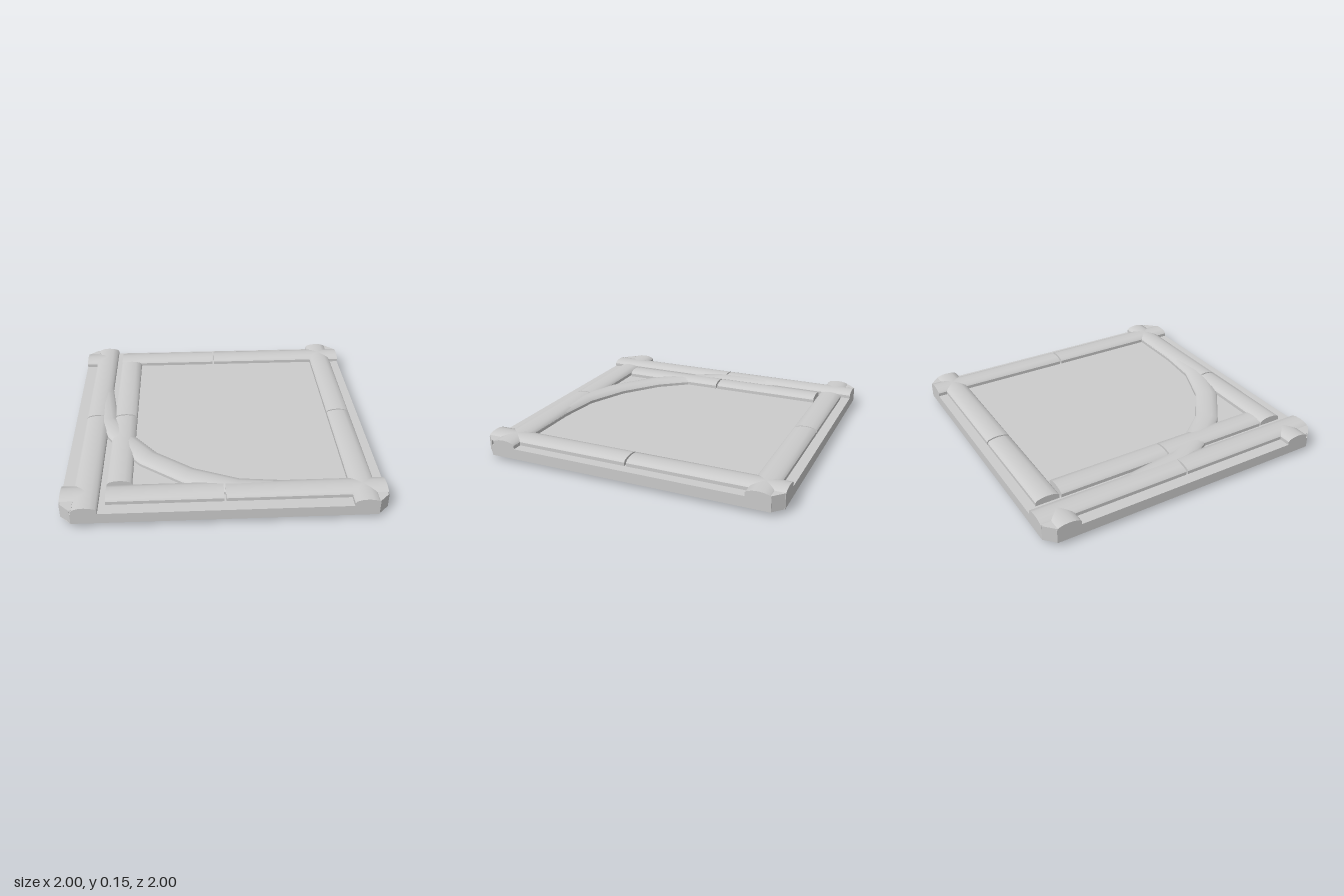
import * as THREE from 'three';
import { toCreasedNormals } from 'three/addons/utils/BufferGeometryUtils.js';

const BOTTOM = 0.03, DECK = 0.1, TOP = 0.146, HALF = 0.078;
const mat = new THREE.MeshStandardMaterial({ color: 0xcccccc, side: THREE.DoubleSide });

function mesh(name, geo) {
  const m = new THREE.Mesh(geo, mat);
  m.name = name;
  return m;
}

// Rounded channel, open underneath, swept along [x, z, innerBottom] points
function channel(name, pts, top = TOP) {
  const half = [[1, top - 0.024], [0.86, top - 0.012], [0.45, top - 0.003]];
  const pos = [], idx = [];
  const n = 9;
  pts.forEach(([x, z, inner = BOTTOM], j) => {
    const a = pts[Math.max(j - 1, 0)], b = pts[Math.min(j + 1, pts.length - 1)];
    const d = new THREE.Vector2(b[0] - a[0], b[1] - a[1]).normalize();
    const section = [
      [-1, inner], ...half.map(([u, y]) => [-u, y]), [0, top],
      ...half.slice().reverse(), [1, BOTTOM],
    ];
    section.forEach(([u, y]) => pos.push(x - d.y * u * HALF, y, z + d.x * u * HALF));
  });
  const last = (pts.length - 1) * n;
  for (let j = 0; j < pts.length - 1; j++) {
    for (let i = 0; i < n - 1; i++) {
      const a = j * n + i, b = a + n;
      idx.push(a, a + 1, b, a + 1, b + 1, b);
    }
  }
  for (let i = 1; i < n - 1; i++) {
    idx.push(0, i + 1, i, last, last + i, last + i + 1);
  }
  const geo = new THREE.BufferGeometry();
  geo.setAttribute('position', new THREE.Float32BufferAttribute(pos, 3));
  geo.setIndex(idx);
  return mesh(name, toCreasedNormals(geo, 0.65));
}

// Points of the scooped corner, from the z edge round to the x edge
function scoop(sx, sz, r = 0.07) {
  const out = [];
  for (let i = 0; i <= 6; i++) {
    const t = (i / 6) * Math.PI / 2;
    out.push([sx * (1 - r * Math.cos(t)), sz * (1 - r * Math.sin(t))]);
  }
  return out;
}

export function createModel() {
  const g = new THREE.Group();
  g.name = 'floorTile';

  // Square outline with concave corners
  const outline = [
    ...scoop(1, 1), ...scoop(1, -1).reverse(),
    ...scoop(-1, -1), ...scoop(-1, 1).reverse(),
  ];

  // Deck: floor and outer ledge in one sheet
  const shape = new THREE.Shape(outline.map(([x, z]) => new THREE.Vector2(x, -z)));
  const deck = mesh('deck', new THREE.ShapeGeometry(shape).rotateX(-Math.PI / 2));
  deck.position.y = DECK;
  g.add(deck);

  // Outer skirt
  const pos = [], idx = [];
  outline.forEach(([x, z], i) => {
    pos.push(x, BOTTOM, z, x, DECK, z);
    const a = 2 * i, b = (2 * i + 2) % (2 * outline.length);
    idx.push(a, b, a + 1, b, b + 1, a + 1);
  });
  const skirt = new THREE.BufferGeometry();
  skirt.setAttribute('position', new THREE.Float32BufferAttribute(pos, 3));
  skirt.setIndex(idx);
  g.add(mesh('skirt', toCreasedNormals(skirt, 0.6)));

  // Edge rails, each split by a narrow seam
  const gap = 0.006;
  const xl = -0.845, xr = 0.855, zb = -0.86, zf = 0.84;
  for (const [name, x, z0, z1] of [
    ['leftRail', xl, -1, 1], ['rightRail', xr, -1, 1], ['innerRail', -0.65, -0.77, 0.75],
  ]) {
    g.add(channel(name + 'Back', [[x, z0], [x, -gap]]));
    g.add(channel(name + 'Front', [[x, gap], [x, z1]]));
  }
  for (const [name, z] of [['backRail', zb], ['frontRail', zf]]) {
    g.add(channel(name + 'Stub', [[-1, z], [xl, z]]));
    g.add(channel(name + 'Left', [[-0.725, z], [-gap, z]]));
    g.add(channel(name + 'Right', [[gap, z], [1, z]]));
  }

  // Curved rail joining the left and front rails
  g.add(channel('curvedRail', [
    [-0.845, -0.75], [-0.845, -0.4], [-0.78, 0.04], [-0.64, 0.28], [-0.48, 0.485],
    [-0.22, 0.68], [0.08, 0.805, 0.028], [0.38, 0.838, 0], [0.98, 0.84, 0.025],
  ], TOP - 0.003));

  // Concave fillets between the crossing rail ends
  for (const sx of [-1, 1]) {
    for (const sz of [-1, 1]) {
      const ix = (sx < 0 ? xl : xr) + sx * (HALF - 0.005);
      const iz = (sz < 0 ? zb : zf) + sz * (HALF - 0.005);
      const s = new THREE.Shape([[ix, sz], ...scoop(sx, sz).reverse(), [sx, iz], [ix, iz]]
        .map(([x, z]) => new THREE.Vector2(x, -z)));
      const geo = new THREE.ExtrudeGeometry(s, { depth: 0.1, bevelEnabled: false });
      const fillet = mesh('cornerFillet', toCreasedNormals(geo.rotateX(-Math.PI / 2), 0.6));
      fillet.position.y = BOTTOM;
      g.add(fillet);
    }
  }

  // Closed underside below the right rail
  const under = mesh('rightUnderside', new THREE.PlaneGeometry(0.22, 1.85).rotateX(Math.PI / 2));
  under.position.set(0.89, BOTTOM, 0);
  g.add(under);

  return g;
}
